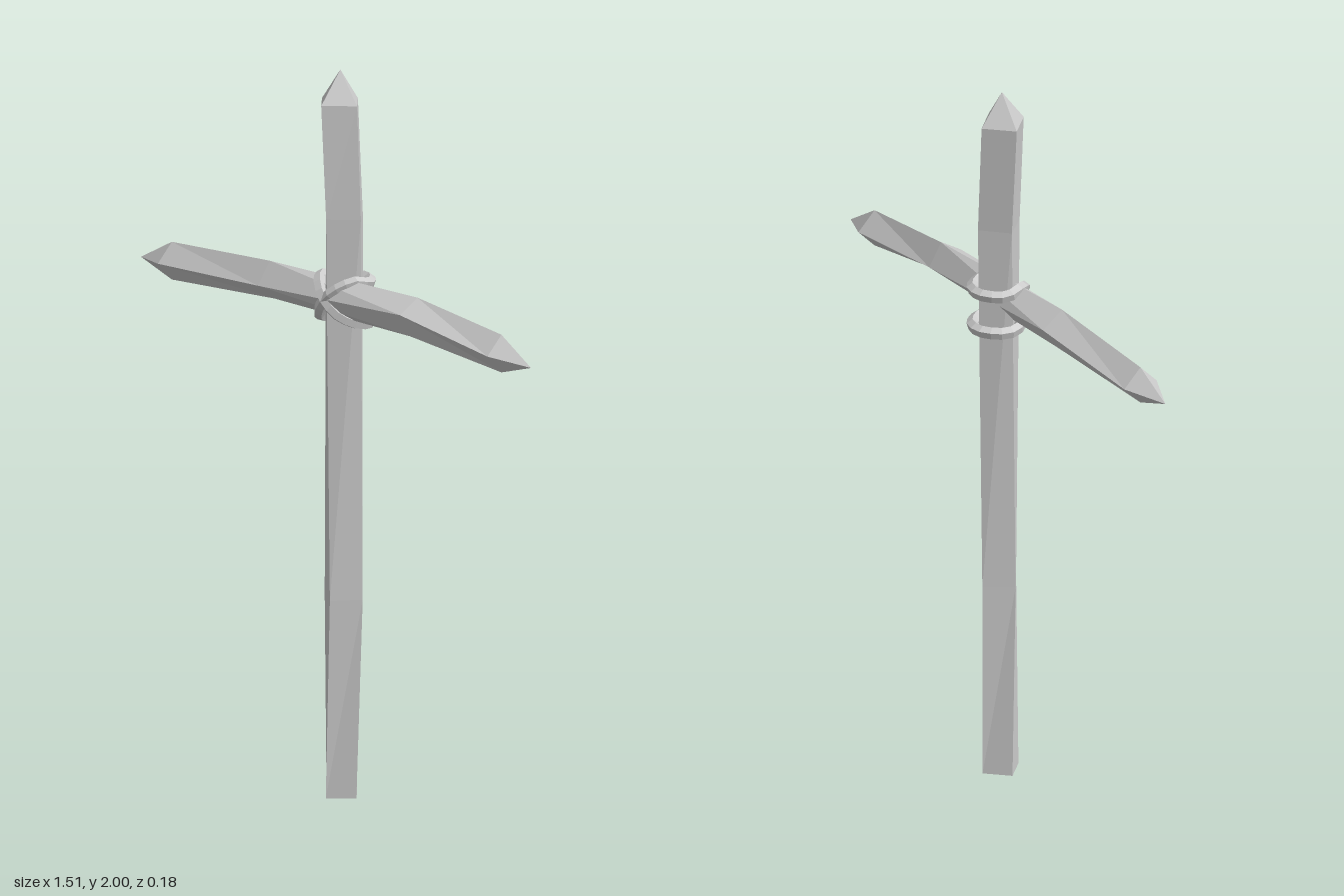
import * as THREE from 'three';

const material = new THREE.MeshStandardMaterial({ color: 0xcccccc, flatShading: true, side: THREE.DoubleSide });

function addMesh(group, geometry, name) {
  const flat = geometry.toNonIndexed();
  flat.computeVertexNormals();
  const mesh = new THREE.Mesh(flat, material);
  mesh.name = name;
  group.add(mesh);
}

// Four-sided pole with its corners on the axes.
// Each section is [x, y, z, radius, twist]; radius 0 closes an end.
function pole(sections, alongX) {
  const n = sections.length - 1;
  const geometry = new THREE.CylinderGeometry(1, 1, 1, 4, n, true);
  const p = geometry.attributes.position;
  for (let i = 0; i < p.count; i++) {
    const [cx, cy, cz, r, twist = 0] = sections[Math.round((p.getY(i) + 0.5) * n)];
    const c = Math.cos(twist), s = Math.sin(twist);
    const u = r * (p.getX(i) * c + p.getZ(i) * s);
    const w = r * (p.getZ(i) * c - p.getX(i) * s);
    if (alongX) p.setXYZ(i, cx, cy - u, cz + w);
    else p.setXYZ(i, cx + u, cy, cz + w);
  }
  return geometry;
}

export function createModel() {
  const group = new THREE.Group();
  group.name = 'woodenCross';

  // Slightly crooked upright with a pointed top
  addMesh(group, pole([
    [-0.017, 0, -0.008, 0],
    [-0.017, 0, -0.008, 0.058],
    [-0.002, 0.55, -0.002, 0.063, 0.18],
    [0.003, 1.6, 0, 0.066, -0.03],
    [-0.017, 1.91, -0.001, 0.068],
    [-0.015, 2, -0.002, 0],
  ], false), 'upright');

  // Bent crossbar, pointed at both ends
  addMesh(group, pole([
    [-0.76, 1.36, 0.026, 0],
    [-0.64, 1.37, 0.026, 0.052],
    [-0.25, 1.385, 0.026, 0.054, 0.15],
    [0.3, 1.377, 0.026, 0.053, -0.25],
    [0.64, 1.335, 0.026, 0.052],
    [0.755, 1.315, 0.026, 0],
  ], true), 'crossbar');

  // Lashing: crosses in front, two level strands behind
  const half = (s, y, yFront) => [
    [-0.025 * s, y, -0.07],
    [0.025 * s, y, -0.07],
    [0.068 * s, y, -0.022],
    [0.066 * s, yFront, 0.018],
    [0.035 * s, 1.38 + (yFront - 1.38) * 0.62, 0.056],
    [0, 1.38, 0.071],
    [-0.035 * s, 1.38 + (1.322 - 1.38) * (yFront > 1.38 ? 0.62 : -0.62), 0.056],
  ];
  const lower = half(-1, 1.312, 1.318).map(([x, y, z]) => [-x, y, z]);
  const upper = half(1, 1.42, 1.43);
  // Top strand runs down to the lower left, then the bottom strand runs back up to the upper left
  const points = [
    ...upper,
    [-0.066, 1.318, 0.018], [-0.068, 1.312, -0.022],
    ...lower,
    [-0.066, 1.43, 0.018], [-0.068, 1.42, -0.022],
  ].map((v) => new THREE.Vector3(...v));
  const path = new THREE.CatmullRomCurve3(points, true, 'centripetal');
  addMesh(group, new THREE.TubeGeometry(path, 36, 0.017, 5, true), 'lashing');

  return group;
}
